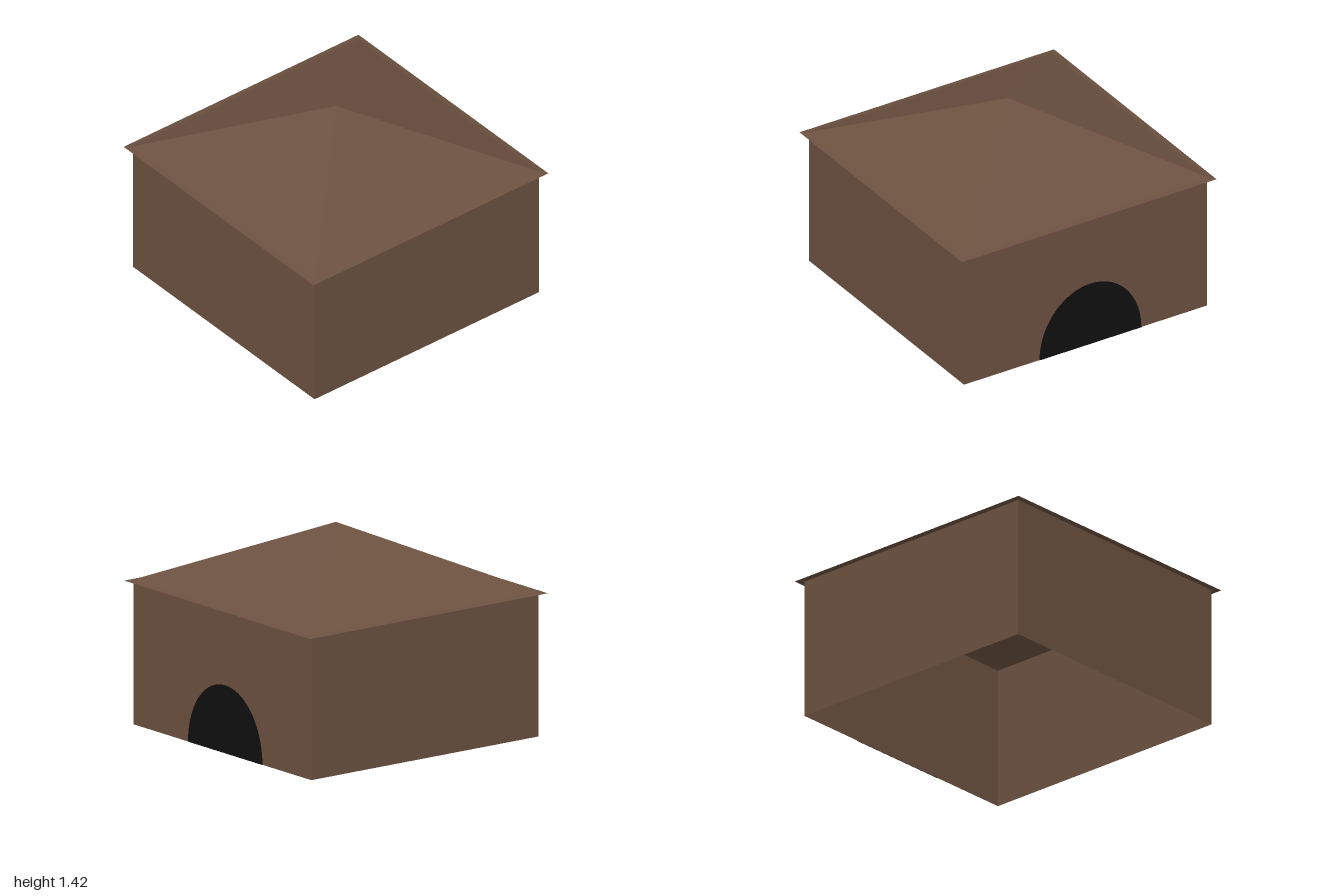
import * as THREE from 'three';

const HALF = 0.955;   // half width of the walls
const EAVE_Y = 0.98;  // underside of the eaves

// Hard-edged normals for a geometry
function faceted(geometry) {
  const g = geometry.toNonIndexed();
  g.computeVertexNormals();
  return g;
}

export function createModel() {
  const group = new THREE.Group();
  group.name = 'hut';

  const brown = new THREE.MeshStandardMaterial({
    color: 0x6b5140, side: THREE.DoubleSide, flatShading: true,
  });
  brown.name = 'brown wood';
  const black = new THREE.MeshStandardMaterial({ color: 0x101010, side: THREE.DoubleSide });
  black.name = 'black';

  const add = (name, geometry, material) => {
    const mesh = new THREE.Mesh(geometry, material);
    mesh.name = name;
    group.add(mesh);
    return mesh;
  };

  // Four walls, open underneath
  const wallTop = EAVE_Y + 0.01;
  const r = HALF * Math.SQRT2;
  const walls = new THREE.CylinderGeometry(r, r, wallTop, 4, 1, true, Math.PI / 4);
  walls.translate(0, wallTop / 2, 0);
  add('walls', faceted(walls), brown);

  // Hollow pyramid roof with a thin flared eave
  const profile = [[HALF, EAVE_Y], [1, EAVE_Y], [HALF, wallTop], [0, 1.425]]
    .map(([x, y]) => new THREE.Vector2(x * Math.SQRT2, y));
  add('roof', faceted(new THREE.LatheGeometry(profile, 4, Math.PI / 4)), brown);

  // Arched doorway on the +x wall
  const arch = new THREE.Shape();
  arch.absellipse(0, 0, 0.4, 0.465, 0, Math.PI, false, 0);
  arch.closePath();
  const doorway = add('doorway', new THREE.ShapeGeometry(arch, 32), black);
  doorway.rotation.y = Math.PI / 2;
  doorway.position.set(HALF + 0.004, 0, -0.035);

  return group;
}
